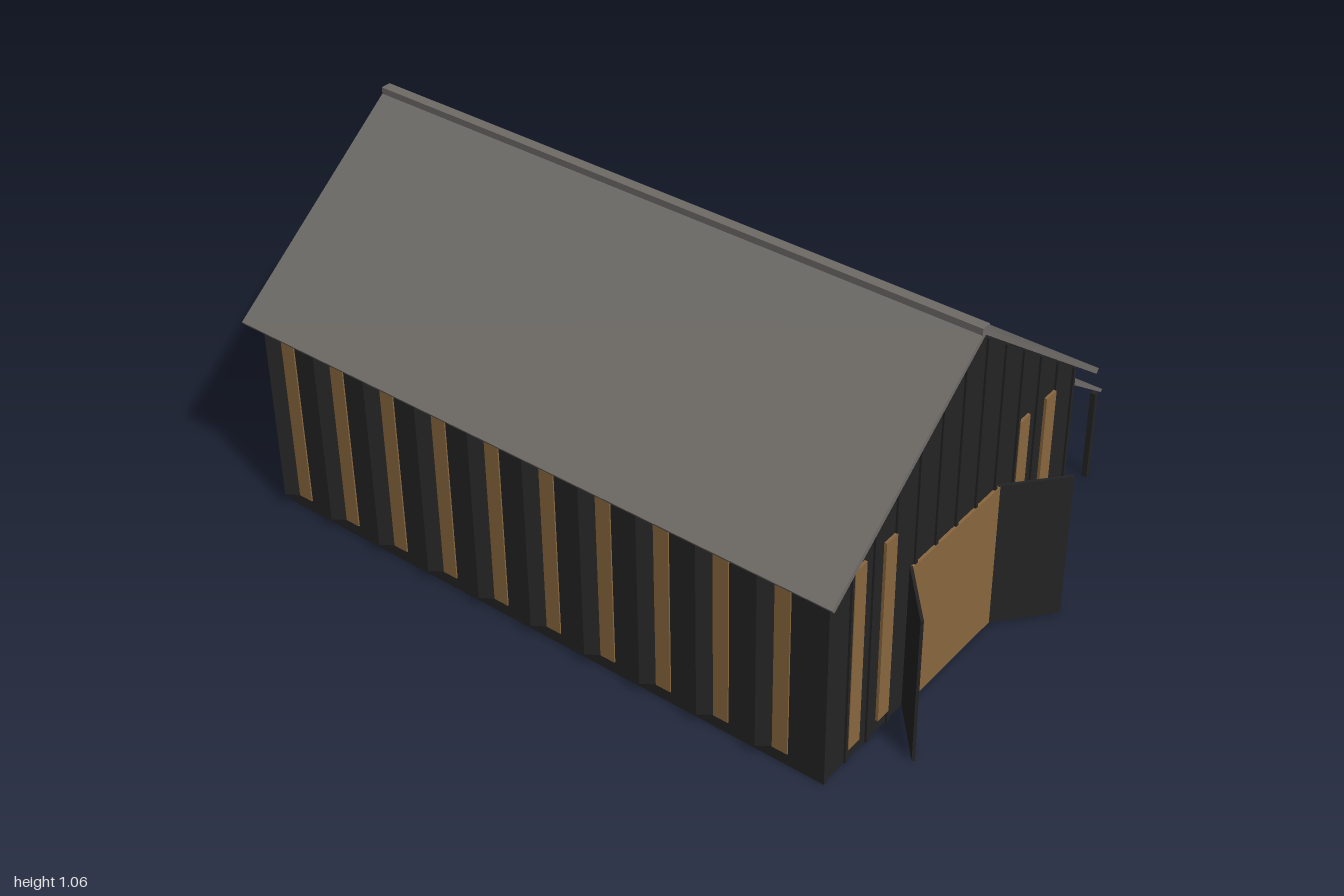
import * as THREE from 'three';

const CX = -0.1675, HALF = 0.5475;      // barn centre line and half width
const FRONT = 0.865, BACK = -0.95;      // gable wall planes
const EAVE = 0.625, APEX = 1.034;       // wall heights

export function createModel() {
  const barn = new THREE.Group();
  barn.name = 'barn';

  const mat = (name, color, side = THREE.FrontSide) => {
    const m = new THREE.MeshStandardMaterial({ color, side });
    m.name = name;
    return m;
  };
  const black = mat('blackTimber', 0x242424, THREE.DoubleSide);
  const grey = mat('greyRoofing', 0x6e6b67);
  const wood = mat('warmWood', 0x8a673f);

  const add = (name, geometry, material, x = 0, y = 0, z = 0) => {
    const mesh = new THREE.Mesh(geometry, material);
    mesh.name = name;
    mesh.position.set(x, y, z);
    barn.add(mesh);
    return mesh;
  };
  const box = (name, material, w, h, d, x, y, z) =>
    add(name, new THREE.BoxGeometry(w, h, d), material, x, y, z);
  const extrude = (points, z0, z1) => {
    const shape = new THREE.Shape(points.map(([x, y]) => new THREE.Vector2(x, y)));
    return new THREE.ExtrudeGeometry(shape, { depth: z1 - z0, bevelEnabled: false }).translate(0, 0, z0);
  };

  // Hollow shell, open underneath: gables plus a swept wall and ceiling profile
  const profile = [[HALF, 0], [HALF, EAVE], [0, APEX], [-HALF, EAVE], [-HALF, 0]];
  const gable = new THREE.ShapeGeometry(new THREE.Shape(profile.map(([x, y]) => new THREE.Vector2(x, y))));
  add('frontGable', gable, black, CX, 0, FRONT);
  add('backGable', gable, black, CX, 0, BACK).rotation.y = Math.PI;
  const sweep = [];
  for (let i = 0; i < 4; i++) {
    const [ax, ay] = profile[i], [bx, by] = profile[i + 1];
    sweep.push(ax, ay, FRONT, ax, ay, BACK, bx, by, BACK);
    sweep.push(ax, ay, FRONT, bx, by, BACK, bx, by, FRONT);
  }
  const shell = new THREE.BufferGeometry();
  shell.setAttribute('position', new THREE.Float32BufferAttribute(sweep, 3));
  shell.computeVertexNormals();
  add('sideWalls', shell, black, CX);

  // Pitched roof and ridge cap
  add('mainRoof', extrude([
    [0, 1.052], [-0.597, 0.607], [-0.588, 0.594], [0, 1.036], [0.588, 0.594], [0.597, 0.607],
  ], -1, 0.91), grey, CX);
  box('ridgeCap', grey, 0.03, 0.02, 1.91, CX, 1.05, -0.045);

  // Vertical battens on both gables, stopping above the doorway
  for (let i = 0; i <= 12; i++) {
    const off = (i / 12 - 0.5) * 2 * (HALF - 0.005);
    const top = APEX - (APEX - EAVE) * Math.abs(off) / HALF - 0.004;
    const low = Math.abs(off) < 0.2 ? 0.45 : 0;
    box('frontBatten', black, 0.01, top - low, 0.006, CX + off, (top + low) / 2, FRONT + 0.003);
    box('backBatten', black, 0.01, top, 0.006, CX + off, top / 2, BACK - 0.003);
  }

  // Doorway and two doors swung outward
  box('doorway', wood, 0.396, 0.45, 0.008, CX, 0.225, FRONT + 0.004);
  for (const s of [-1, 1]) {
    const door = box('door', black, 0.2, 0.452, 0.008, CX + s * 0.273, 0.226, FRONT + 0.067);
    door.rotation.y = -s * Math.atan2(0.13, 0.15);
  }

  // Tall slit windows beside the doors
  for (const off of [-0.425, -0.298, 0.298, 0.425]) {
    box('frontWindow', wood, 0.047, 0.565, 0.008, CX + off, 0.322, FRONT + 0.004);
  }

  // Slit windows along both sides, each with a shutter folded back
  for (let i = 0; i < 10; i++) {
    const z = 0.74 - i * 0.1806;
    for (const s of [-1, 1]) {
      const wall = CX + s * HALF;
      box('sideWindow', wood, 0.004, 0.565, 0.046, wall + s * 0.002, 0.322, z);
      const shutter = box('shutter', black, 0.004, 0.565, 0.044, wall + s * 0.0125, 0.322, z - 0.041);
      shutter.rotation.y = -s * Math.atan2(0.025, 0.036);
    }
  }

  // Lean-to canopy on posts
  add('canopyRoof', extrude([
    [0.38, 0.548], [0.753, 0.282], [0.758, 0.29], [0.38, 0.558],
  ], -0.855, 0.765), grey);
  for (let i = 0; i < 5; i++) {
    box('canopyPost', black, 0.016, 0.288, 0.016, 0.733, 0.144, 0.755 - i * 0.4);
  }

  return barn;
}
